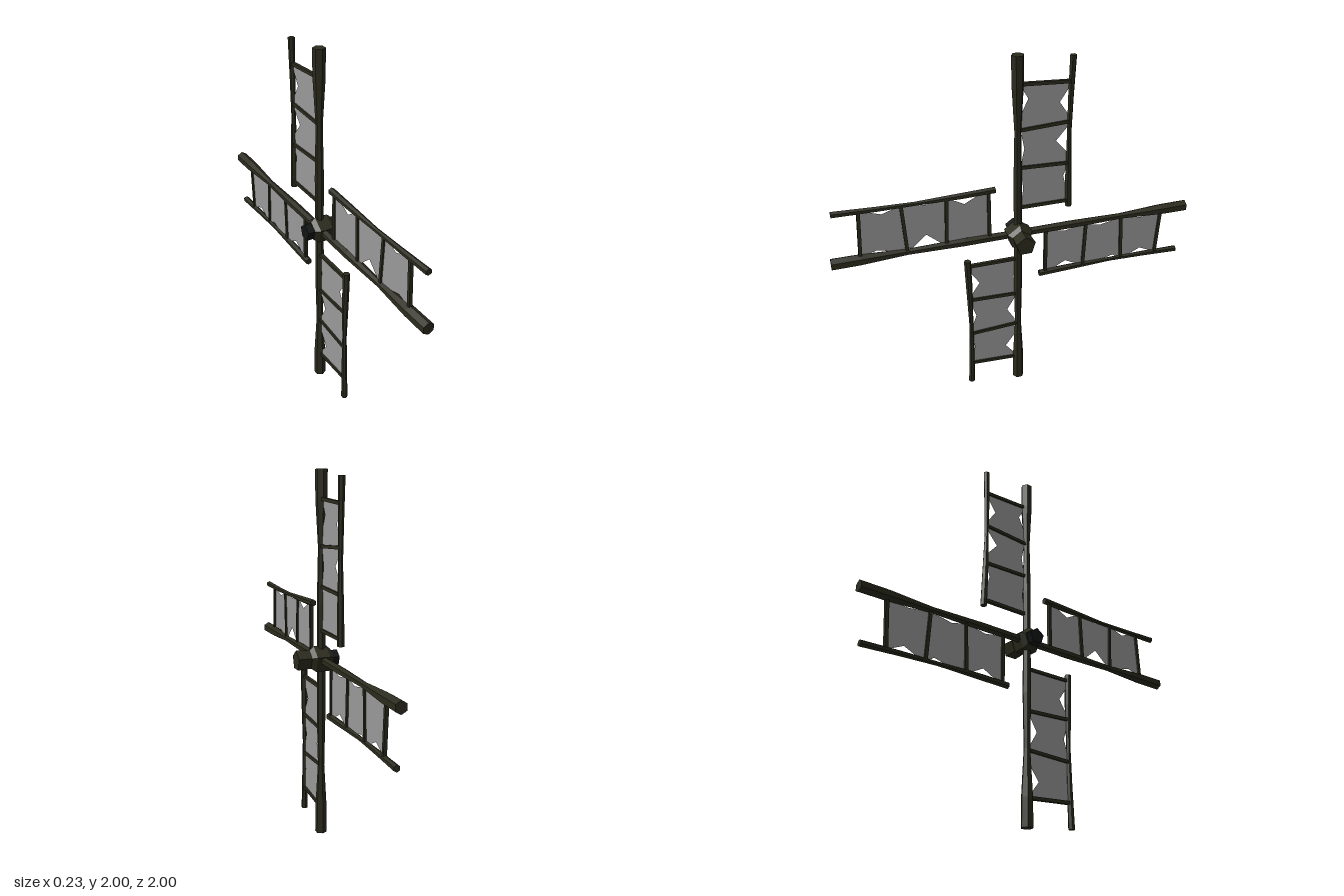
import * as THREE from 'three';

const wood = new THREE.MeshStandardMaterial({ color: 0x2b2b1e });
const iron = new THREE.MeshStandardMaterial({ color: 0x121414 });
const cloth = new THREE.MeshStandardMaterial({ color: 0x999999, side: THREE.DoubleSide });
wood.name = 'darkWood';
iron.name = 'blackIron';
cloth.name = 'greyCloth';

// Faceted closed beam along y from [radius, height] pairs
function beam(name, profile, sides, material = wood) {
  const pts = profile.map(([r, y]) => new THREE.Vector2(r, y));
  pts.unshift(new THREE.Vector2(0, pts[0].y));
  pts.push(new THREE.Vector2(0, pts[pts.length - 1].y));
  const geo = new THREE.LatheGeometry(pts, sides).toNonIndexed();
  geo.computeVertexNormals();
  const mesh = new THREE.Mesh(geo, material);
  mesh.name = name;
  return mesh;
}

// Rung ends as [height at spar, height at rail]
const rungs = [[0.16, 0.16], [0.395, 0.385], [0.605, 0.62], [0.85, 0.835]];

// Tears per blade and panel: [rail depth, rail height, spar depth, spar height]
const tears = [
  [[0.02, 0.31, 0.01, 0.27], [0.065, 0.52, 0.015, 0.5], [0.05, 0.73, 0.035, 0.77]],
  [[0.04, 0.29, 0.005, 0.28], [0.01, 0.5, 0.065, 0.5], [0.025, 0.72, 0.02, 0.76]],
  [[0.05, 0.28, 0.005, 0.28], [0.025, 0.5, 0.045, 0.5], [0.01, 0.72, 0.055, 0.76]],
  [[0.04, 0.28, 0.015, 0.27], [0.02, 0.57, 0.015, 0.48], [0.035, 0.74, 0.01, 0.73]],
];

// Cloth panel between two rungs, with a notch on either edge
function sailPanel(lower, upper, [railDepth, railV, sparDepth, sparV]) {
  const inner = 0.02, outer = 0.272, w = 0.075;
  const shape = new THREE.Shape([
    [inner, lower[0]], [outer, lower[1]],
    [outer, Math.max(railV - w, lower[1] + 0.02)], [outer - railDepth, railV],
    [outer, Math.min(railV + w, upper[1] - 0.02)],
    [outer, upper[1]], [inner, upper[0]],
    [inner, Math.min(sparV + w, upper[0] - 0.02)], [inner + sparDepth, sparV],
    [inner, Math.max(sparV - w, lower[0] + 0.02)],
  ].map(([u, v]) => new THREE.Vector2(u, v)));
  const mesh = new THREE.Mesh(new THREE.ShapeGeometry(shape).rotateY(Math.PI / 2), cloth);
  mesh.name = 'sailPanel';
  return mesh;
}

function createBlade(index) {
  const blade = new THREE.Group();
  blade.name = 'blade';

  // Main spar, waisted in the middle
  blade.add(beam('spar', [[0.022, 0], [0.024, 0.3], [0.018, 0.6], [0.032, 0.85], [0.033, 1]], 6));

  // Outer rail, slightly bowed towards the spar
  const rail = beam('rail', [[0.019, 0.125], [0.018, 0.3], [0.012, 0.55], [0.015, 0.75], [0.018, 0.97]], 6);
  const pos = rail.geometry.attributes.position;
  for (let i = 0; i < pos.count; i++) {
    const bow = Math.sin(Math.PI * (pos.getY(i) - 0.125) / 0.845);
    pos.setZ(i, pos.getZ(i) - 0.287 + 0.009 * bow);
  }
  rail.geometry.computeVertexNormals();
  blade.add(rail);

  // Cross rungs
  for (const [a, b] of rungs) {
    const rung = new THREE.Mesh(new THREE.BoxGeometry(0.018, 0.018, Math.hypot(0.28, b - a)), wood);
    rung.name = 'rung';
    rung.position.set(0, (a + b) / 2, -0.14);
    rung.rotation.x = Math.atan2(b - a, 0.28);
    blade.add(rung);
  }

  // Torn cloth
  tears[index].forEach((tear, i) => blade.add(sailPanel(rungs[i], rungs[i + 1], tear)));

  blade.position.set(-0.028, 1, 0);
  blade.rotation.x = index * Math.PI / 2;
  return blade;
}

export function createModel() {
  const model = new THREE.Group();
  model.name = 'windmillRotor';
  for (let i = 0; i < 4; i++) model.add(createBlade(i));

  // Five-sided hub and axle lying along x, one corner pointing up
  const axle = new THREE.Group();
  axle.name = 'hubAndAxle';
  axle.add(
    beam('hub', [[0.052, -0.08], [0.073, -0.055], [0.073, 0.015], [0.052, 0.04]], 5),
    beam('axleFront', [[0.052, 0.03], [0.056, 0.115]], 5),
    beam('axleBack', [[0.046, -0.118], [0.046, -0.07]], 5, iron),
  );
  // Lathe corner lies on +z: turn it upward, then lay the axis along x
  axle.children.forEach((m) => m.geometry.rotateY(-Math.PI / 2).rotateZ(-Math.PI / 2));
  axle.position.y = 1;
  model.add(axle);
  return model;
}
